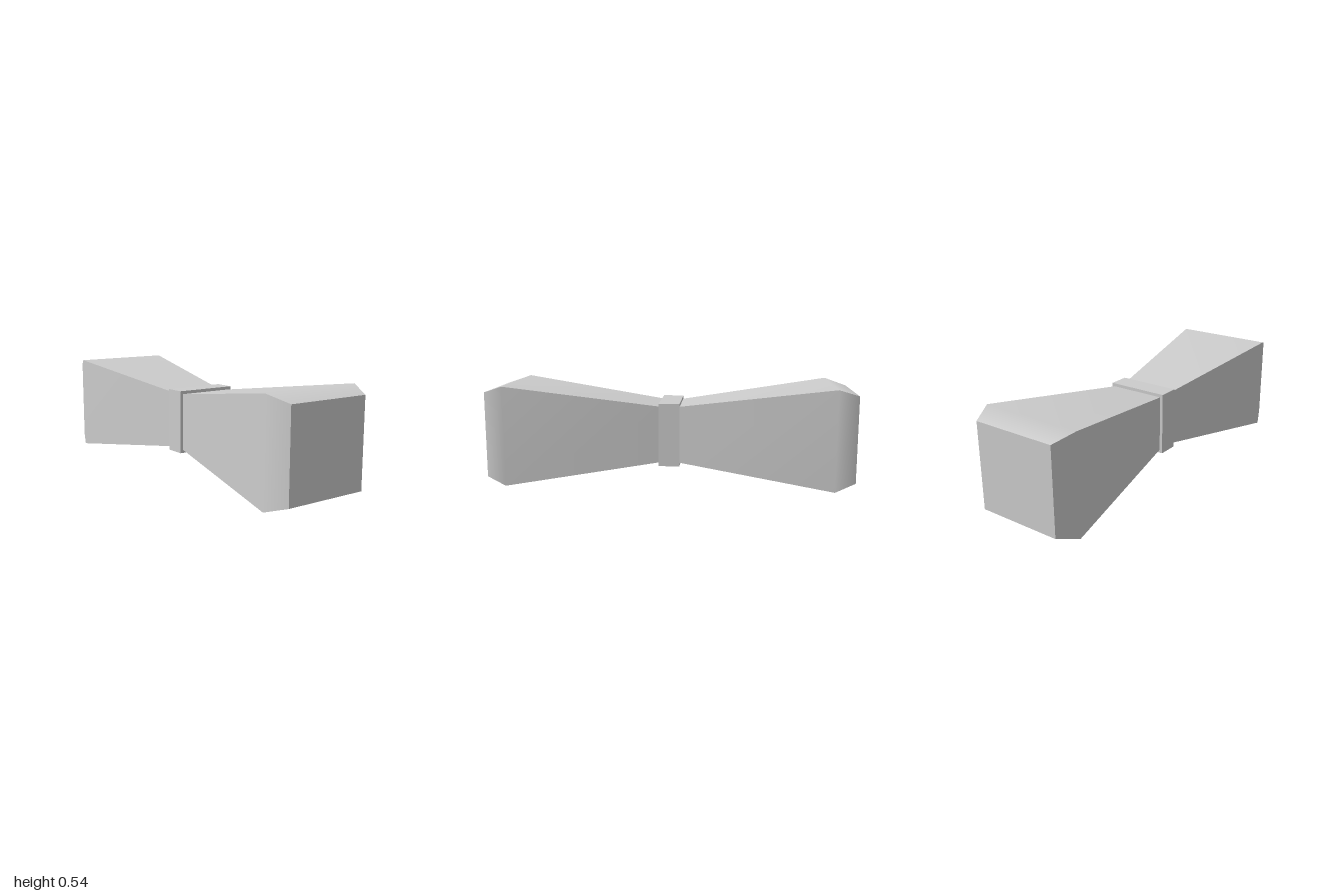
import * as THREE from 'three';

const CENTRE_Y = 0.273;

// One flared half: square sections along z, smooth along the length, sharp at the corners
function flareGeometry() {
  const rings = [ // z, half width, half height
    [0, 0.147, 0.148],
    [0.885, 0.285, 0.272],
    [1, 0.235, 0.234],
  ];
  const corners = [[1, -1], [1, 1], [-1, 1], [-1, -1]];
  const positions = [];
  const index = [];
  const addPoint = ([z, w, h], [sx, sy]) => positions.push(sx * w, sy * h, z);

  for (let side = 0; side < 4; side++) {
    const base = positions.length / 3;
    rings.forEach((ring, i) => {
      addPoint(ring, corners[side]);
      addPoint(ring, corners[(side + 1) % 4]);
      if (i > 0) {
        const a = base + (i - 1) * 2;
        index.push(a, a + 1, a + 2, a + 1, a + 3, a + 2);
      }
    });
  }

  // Flat end cap
  const cap = positions.length / 3;
  corners.forEach((c) => addPoint(rings[rings.length - 1], c));
  index.push(cap, cap + 1, cap + 2, cap, cap + 2, cap + 3);

  const geometry = new THREE.BufferGeometry();
  geometry.setAttribute('position', new THREE.Float32BufferAttribute(positions, 3));
  geometry.setIndex(index);
  geometry.computeVertexNormals();
  return geometry;
}

export function createModel() {
  const group = new THREE.Group();
  const lightGrey = new THREE.MeshStandardMaterial({ color: 0xcccccc });
  lightGrey.name = 'lightGrey';

  // Front and back flared ends
  const flare = flareGeometry();
  ['frontFlare', 'backFlare'].forEach((name, i) => {
    const mesh = new THREE.Mesh(flare, lightGrey);
    mesh.name = name;
    mesh.position.y = CENTRE_Y;
    mesh.rotation.y = i * Math.PI;
    group.add(mesh);
  });

  // Square band around the waist
  const collar = new THREE.Mesh(new THREE.BoxGeometry(0.345, 0.346, 0.114), lightGrey);
  collar.name = 'collar';
  collar.position.y = CENTRE_Y;
  group.add(collar);

  return group;
}
